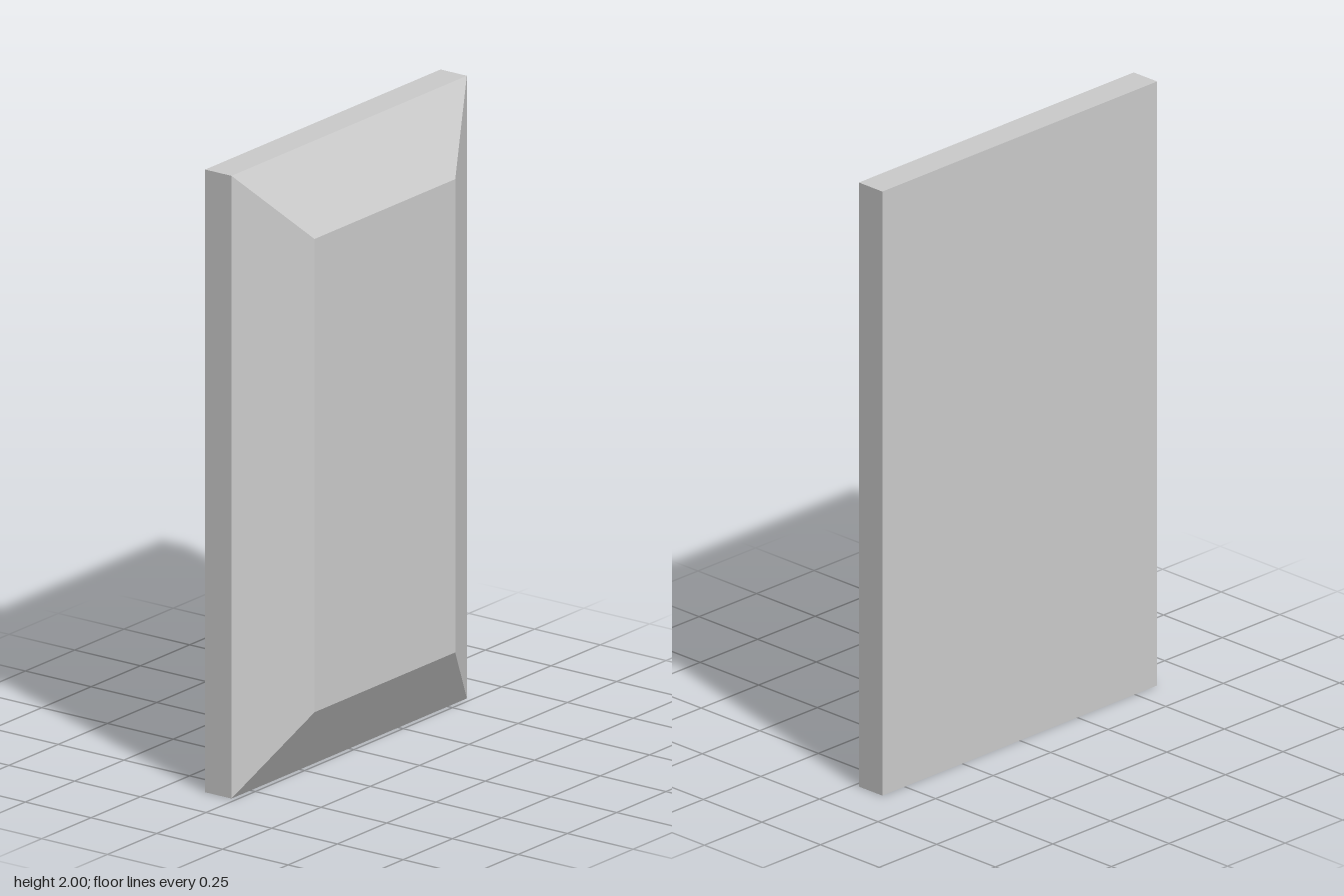
import * as THREE from 'three';

const HEIGHT = 2, WIDTH = 1.194, DEPTH = 0.236;
const SLAB = 0.1;    // thickness of the square-edged base
const INSET = 0.24;  // width of the bevel all round

export function createModel() {
  const group = new THREE.Group();

  // One closed box split in two along x: plain slab, then a bevel up to the raised field
  const box = new THREE.BoxGeometry(DEPTH, HEIGHT, WIDTH, 2, 1, 1);
  const p = box.attributes.position;
  for (let i = 0; i < p.count; i++) {
    const x = p.getX(i);
    if (Math.abs(x) < 1e-4) {
      p.setX(i, -DEPTH / 2 + SLAB);
    } else if (x > 0) {
      p.setY(i, p.getY(i) - Math.sign(p.getY(i)) * INSET);
      p.setZ(i, p.getZ(i) - Math.sign(p.getZ(i)) * INSET);
    }
  }
  const geometry = box.toNonIndexed();
  geometry.computeVertexNormals();

  const panel = new THREE.Mesh(
    geometry,
    new THREE.MeshStandardMaterial({ color: 0xcccccc, flatShading: true })
  );
  panel.name = 'bevelledPanel';
  panel.position.y = HEIGHT / 2;
  group.add(panel);
  return group;
}
